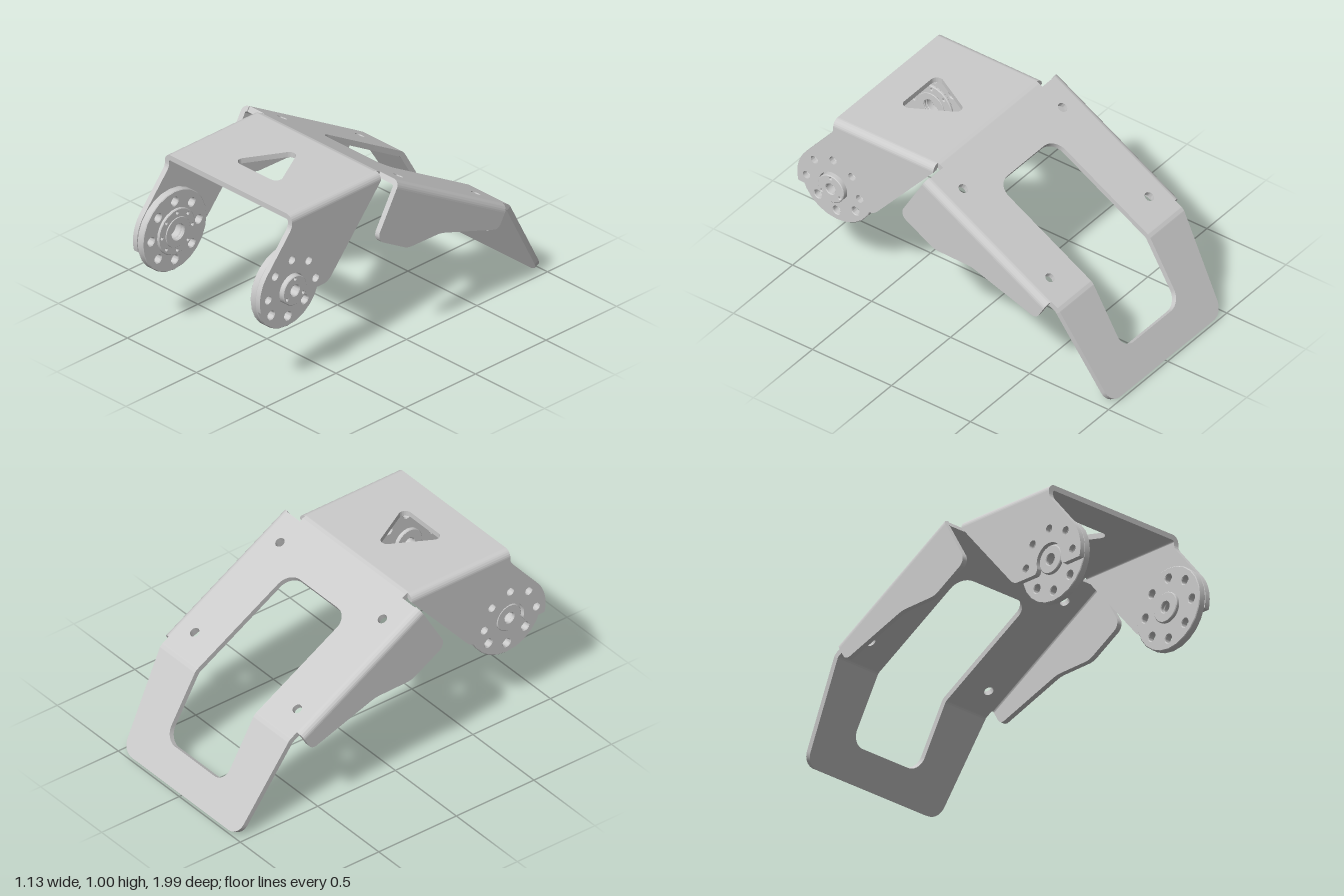
import * as THREE from 'three';
import { toCreasedNormals } from 'three/addons/utils/BufferGeometryUtils.js';

const T = 0.03;            // sheet thickness
const EDGE = 0.04;         // outer radius of the side folds
const FOLD = 0.06;         // outer radius of the cross folds
const TILT = Math.PI / 6;  // angle of each cross fold
const TAN = FOLD * Math.tan(TILT / 2);
const HUB = { z: 0.773, y: 0.577 };
const material = new THREE.MeshStandardMaterial({ color: 0xcccccc, side: THREE.DoubleSide });

// Closed outline through [x, y, radius] corners
function rounded(points, path = new THREE.Shape()) {
  const n = points.length;
  points.forEach(([x, y, r = 0], i) => {
    const p = new THREE.Vector2(x, y);
    const a = new THREE.Vector2(...points[(i + n - 1) % n].slice(0, 2)).sub(p).normalize();
    const b = new THREE.Vector2(...points[(i + 1) % n].slice(0, 2)).sub(p).normalize();
    const turn = Math.PI - Math.acos(THREE.MathUtils.clamp(a.dot(b), -1, 1));
    const d = r * Math.tan(turn / 2), h = d - r * (4 / 3) * Math.tan(turn / 4);
    const at = (v, s) => p.clone().addScaledVector(v, s);
    const s = at(a, d), e = at(b, d), c1 = at(a, h), c2 = at(b, h);
    if (i === 0) path.moveTo(s.x, s.y); else path.lineTo(s.x, s.y);
    if (r) path.bezierCurveTo(c1.x, c1.y, c2.x, c2.y, e.x, e.y);
  });
  path.closePath();
  return path;
}

function circle(x, y, r) {
  return new THREE.Path().absarc(x, y, r, 0, Math.PI * 2, true);
}

function extrude(shape, depth, bevel = 0) {
  return new THREE.ExtrudeGeometry(shape, {
    depth: depth - 2 * bevel, curveSegments: 12, bevelEnabled: bevel > 0,
    bevelSize: bevel, bevelThickness: bevel, bevelOffset: -bevel, bevelSegments: 1,
  }).translate(0, 0, bevel);
}

function add(parent, name, geometry) {
  const mesh = new THREE.Mesh(toCreasedNormals(geometry, 0.6), material);
  mesh.name = name;
  parent.add(mesh);
  return mesh;
}

// Outline in (x, z), top face at y = 0
const panel = (shape) => extrude(shape, T).rotateX(Math.PI / 2);

// Outline in (z, y), filling x0..x1
const sideways = (shape, x0, x1, bevel) =>
  extrude(shape, x1 - x0, bevel).rotateY(-Math.PI / 2).translate(x1, 0, 0);

// Rounded side fold between a panel and its flange
function sideFold(side, outerX, z0, z1) {
  const c = side * (outerX - EDGE), s = new THREE.Shape();
  const start = Math.PI / 2, end = side > 0 ? 0 : Math.PI;
  s.absarc(c, -EDGE, EDGE, start, end, side > 0);
  s.absarc(c, -EDGE, EDGE - T, end, start, side < 0);
  return extrude(s, z1 - z0).translate(0, 0, z0);
}

// Rounded cross fold leading into the next, steeper panel
function crossFold(x0, x1) {
  const s = new THREE.Shape(), a = Math.PI / 2;
  s.absarc(TAN, -FOLD, FOLD, a, a + TILT, false);
  s.absarc(TAN, -FOLD, FOLD - T, a + TILT, a, true);
  return sideways(s, x0, x1);
}

const flange = (shape, side, outerX) =>
  side > 0 ? sideways(shape, outerX - T, outerX) : sideways(shape, -outerX, -outerX + T);

const boltCircle = (n, radius, r, start = 0) => Array.from({ length: n }, (_, i) => {
  const a = start + i * Math.PI * 2 / n;
  return circle(HUB.z + radius * Math.cos(a), HUB.y + radius * Math.sin(a), r);
});

// Round plate on the hub axis with a bore
function hubDisc(R, bore, x0, x1, holes = [], bevel = 0.004) {
  const s = new THREE.Shape().absarc(HUB.z, HUB.y, R, 0, Math.PI * 2, false);
  s.holes.push(circle(HUB.z, HUB.y, bore), ...holes);
  return sideways(s, x0, x1, bevel);
}

// Front flange: rounded end, hub notch and slanted rear edge
function frontFlangeShape() {
  const R = 0.227, base = 0.52, s = new THREE.Shape();
  s.moveTo(0.14, 0.96);
  s.lineTo(0.773, 0.96);
  s.lineTo(0.773, 0.945);
  s.quadraticCurveTo(0.774, 0.928, 0.79, 0.909);
  s.absarc(HUB.z, HUB.y, R, 0.7, -0.253, true);
  s.lineTo(HUB.z + 0.11, base);
  s.quadraticCurveTo(HUB.z + 0.09, base, HUB.z + 0.085, 0.55);
  s.absarc(HUB.z, HUB.y, 0.089, -0.3, Math.PI + 0.3, false);
  s.quadraticCurveTo(HUB.z - 0.09, base, HUB.z - 0.11, base);
  s.lineTo(0.55, base);
  s.quadraticCurveTo(0.516, base, 0.49, 0.552);
  s.closePath();
  s.holes.push(...boltCircle(8, 0.168, 0.023).slice(0, 5));
  return s;
}

export function createModel() {
  const model = new THREE.Group();
  model.name = 'foldedBracket';

  // Front bracket
  const front = new THREE.Group();
  front.name = 'frontBracket';
  const fx = 0.46, neck = fx - EDGE, bendZ = 0.138;
  const top = rounded([[-neck, bendZ + TAN], [neck, bendZ + TAN], [neck, 0.773], [-neck, 0.773]]);
  top.holes.push(rounded([[0, 0.27, 0.035], [-0.173, 0.582, 0.035], [0.173, 0.582, 0.035]], new THREE.Path()));
  add(front, 'frontTopPlate', panel(top)).position.y = 1;
  for (const side of [1, -1]) {
    add(front, 'frontSideFold', sideFold(side, fx, 0.14, 0.773)).position.y = 1;
    add(front, 'frontFlange', flange(frontFlangeShape(), side, fx));
  }
  model.add(front);

  // Sloping middle bracket
  const middle = new THREE.Group();
  middle.name = 'middleBracket';
  middle.position.set(0, 1, bendZ);
  const fold = add(model, 'neckFold', crossFold(-neck, neck));
  fold.position.copy(middle.position);
  middle.rotation.x = -TILT;
  const rx = 0.565, w = rx - EDGE, win = 0.24, len = 0.973, end = -len + TAN;
  const plate = rounded([
    [-neck, -TAN], [neck, -TAN], [neck, -0.035], [w, -0.035], [w, end], [win, end],
    [win, -0.275, 0.085], [-win, -0.275, 0.085], [-win, end], [-w, end], [-w, -0.035], [-neck, -0.035],
  ]);
  for (const x of [-0.42, 0.42]) for (const z of [-0.183, -0.817]) plate.holes.push(circle(x, z, 0.026));
  add(middle, 'middlePlate', panel(plate));
  const rearFlange = rounded([
    [-0.03, -EDGE], [-0.03, -0.326, 0.05], [-0.285, -0.326, 0.12],
    [-0.49, -0.213, 0.2], [-0.915, -0.13, 0.04], [-0.915, -EDGE],
  ]);
  for (const side of [1, -1]) {
    add(middle, 'middleSideFold', sideFold(side, rx, -0.915, -0.03));
    add(middle, 'middleFlange', flange(rearFlange, side, rx));
  }
  model.add(middle);

  // Steep tail, folded down from the middle bracket
  const tailFold = new THREE.Group();
  tailFold.name = 'tailFold';
  tailFold.position.z = -len;
  add(tailFold, 'tailFoldLeft', crossFold(win, w));
  add(tailFold, 'tailFoldRight', crossFold(-w, -win));
  const tail = rounded([
    [-w, -TAN], [-win, -TAN], [-win, -0.393, 0.08], [win, -0.393, 0.08], [win, -TAN],
    [w, -TAN], [0.468, -0.58, 0.08], [-0.468, -0.58, 0.08],
  ]);
  add(tailFold, 'tailPlate', panel(tail)).rotation.x = -TILT;
  middle.add(tailFold);

  // Drilled mounting discs with their hubs
  const bolts = () => boltCircle(8, 0.168, 0.023);
  const pins = (r) => boltCircle(3, r, 0.006, Math.PI / 2);
  add(model, 'leftDisc', hubDisc(0.227, 0.03, 0.388, 0.43, bolts()));
  add(model, 'leftOuterHub', hubDisc(0.083, 0.03, 0.43, 0.483, pins(0.066)));
  add(model, 'leftInnerHub', hubDisc(0.083, 0.03, 0.365, 0.388));
  add(model, 'rightDisc', hubDisc(0.227, 0.045, -0.43, -0.388, bolts()));
  add(model, 'rightInnerRing', hubDisc(0.13, 0.045, -0.388, -0.371, boltCircle(8, 0.108, 0.006)));
  add(model, 'rightInnerHub', hubDisc(0.085, 0.045, -0.371, -0.364, [], 0.002));
  add(model, 'rightOuterHub', hubDisc(0.078, 0.03, -0.452, -0.43));
  return model;
}
